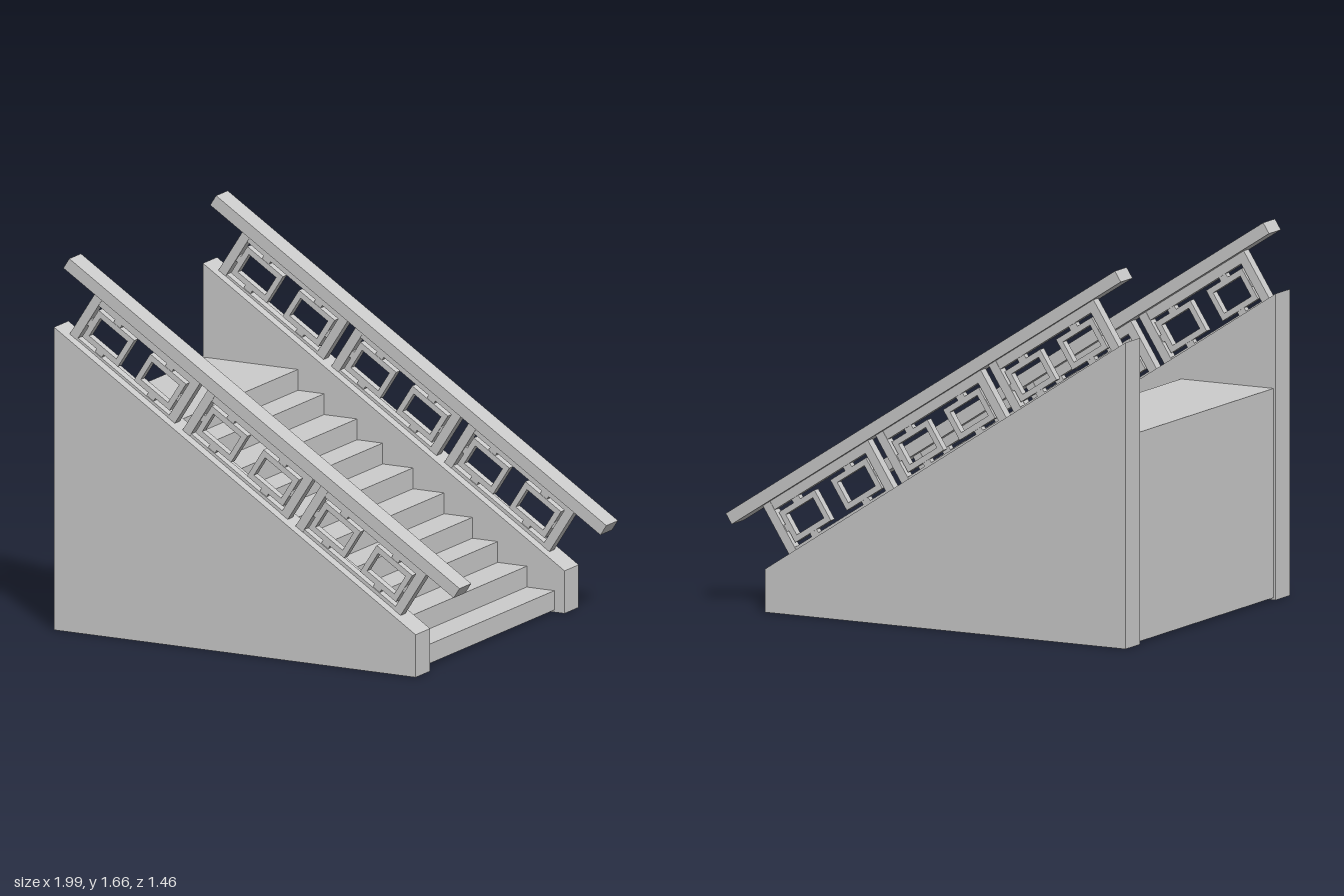
import * as THREE from 'three';

const grey = new THREE.MeshStandardMaterial({ color: 0xcccccc, flatShading: true });
const RAIL_SLOPE = 0.5717;

// Side profile in x/y, extruded between two z values
function slab(name, points, z0, z1) {
  const shape = new THREE.Shape(points.map(([x, y]) => new THREE.Vector2(x, y)));
  const geo = new THREE.ExtrudeGeometry(shape, { depth: z1 - z0, bevelEnabled: false });
  geo.translate(0, 0, z0);
  const mesh = new THREE.Mesh(geo, grey);
  mesh.name = name;
  return mesh;
}

// Box from u/v limits in the plane of the balustrade
function bar(name, u0, u1, v0, v1, depth) {
  const mesh = new THREE.Mesh(new THREE.BoxGeometry(u1 - u0, v1 - v0, depth), grey);
  mesh.position.set((u0 + u1) / 2, (v0 + v1) / 2, 0);
  mesh.name = name;
  return mesh;
}

// Rectangular ring with a rectangular opening
function ring(u0, u1, v0, v1, t, depth) {
  const rect = (P, a, b, c, d) => new P([[a, c], [b, c], [b, d], [a, d]].map(p => new THREE.Vector2(...p)));
  const shape = rect(THREE.Shape, u0, u1, v0, v1);
  shape.holes.push(rect(THREE.Path, u0 + t, u1 - t, v0 + t, v1 - t));
  const geo = new THREE.ExtrudeGeometry(shape, { depth, bevelEnabled: false });
  geo.translate(0, 0, -depth / 2);
  const mesh = new THREE.Mesh(geo, grey);
  mesh.name = 'latticeRing';
  return mesh;
}

// Framed panel holding two rings on short stubs
function panel() {
  const g = new THREE.Group();
  g.name = 'balustradePanel';
  const L = 0.62;
  g.add(bar('post', 0, 0.042, 0.582, 0.838, 0.044), bar('post', L - 0.042, L, 0.582, 0.838, 0.044));
  g.add(bar('topBar', 0.042, L - 0.042, 0.79, 0.838, 0.04));
  g.add(bar('bottomBar', 0.042, L - 0.042, 0.582, 0.604, 0.04));
  for (const c of [0.158, L - 0.158]) {
    g.add(ring(c - 0.105, c + 0.105, 0.621, 0.772, 0.025, 0.035));
    g.add(bar('stub', c - 0.02, c + 0.02, 0.602, 0.622, 0.03));
    g.add(bar('stub', c - 0.02, c + 0.02, 0.77, 0.792, 0.03));
  }
  g.add(bar('stub', 0.04, 0.055, 0.68, 0.712, 0.03), bar('stub', L - 0.055, L - 0.04, 0.68, 0.712, 0.03));
  return g;
}

export function createModel() {
  const model = new THREE.Group();
  model.name = 'staircase';

  // Side walls
  const wall = [[-1, 0], [0.79, 0], [0.79, 0.19], [-1, 1.35]];
  model.add(slab('leftWall', wall, 0.6, 0.73), slab('rightWall', wall, -0.73, -0.603));

  // Steps with a recessed underside, hollow at the back
  const edges = [0.74, 0.603, 0.459, 0.334, 0.194, 0.04, -0.11, -0.237, -0.4, -0.53];
  const profile = [[-0.69, 0.065], [0.732, 0.065], [0.732, 0.01]];
  edges.forEach((x, i) => profile.push([x, i ? 0.003 + i * 0.0929 : 0.01], [x, 0.0959 + i * 0.0929]));
  profile.push([-0.99, 0.932], [-0.99, 0.01], [-0.975, 0.01], [-0.975, 0.6], [-0.69, 0.6]);
  model.add(slab('steps', profile, -0.604, 0.601));

  // Sloping balustrades with handrails
  for (const [side, railZ, panelZ] of [['front', 0.652, 0.662], ['back', -0.662, -0.669]]) {
    const g = new THREE.Group();
    g.name = side + 'Balustrade';
    const rail = bar('handrail', -1.686, 0.611, 0.832, 0.886, 0.105);
    rail.position.z = railZ;
    g.add(rail);
    for (let i = 0; i < 3; i++) {
      const p = panel();
      p.position.set(-1.509 + i * 0.666, 0, panelZ);
      g.add(p);
    }
    g.rotation.z = -RAIL_SLOPE;
    model.add(g);
  }
  return model;
}
